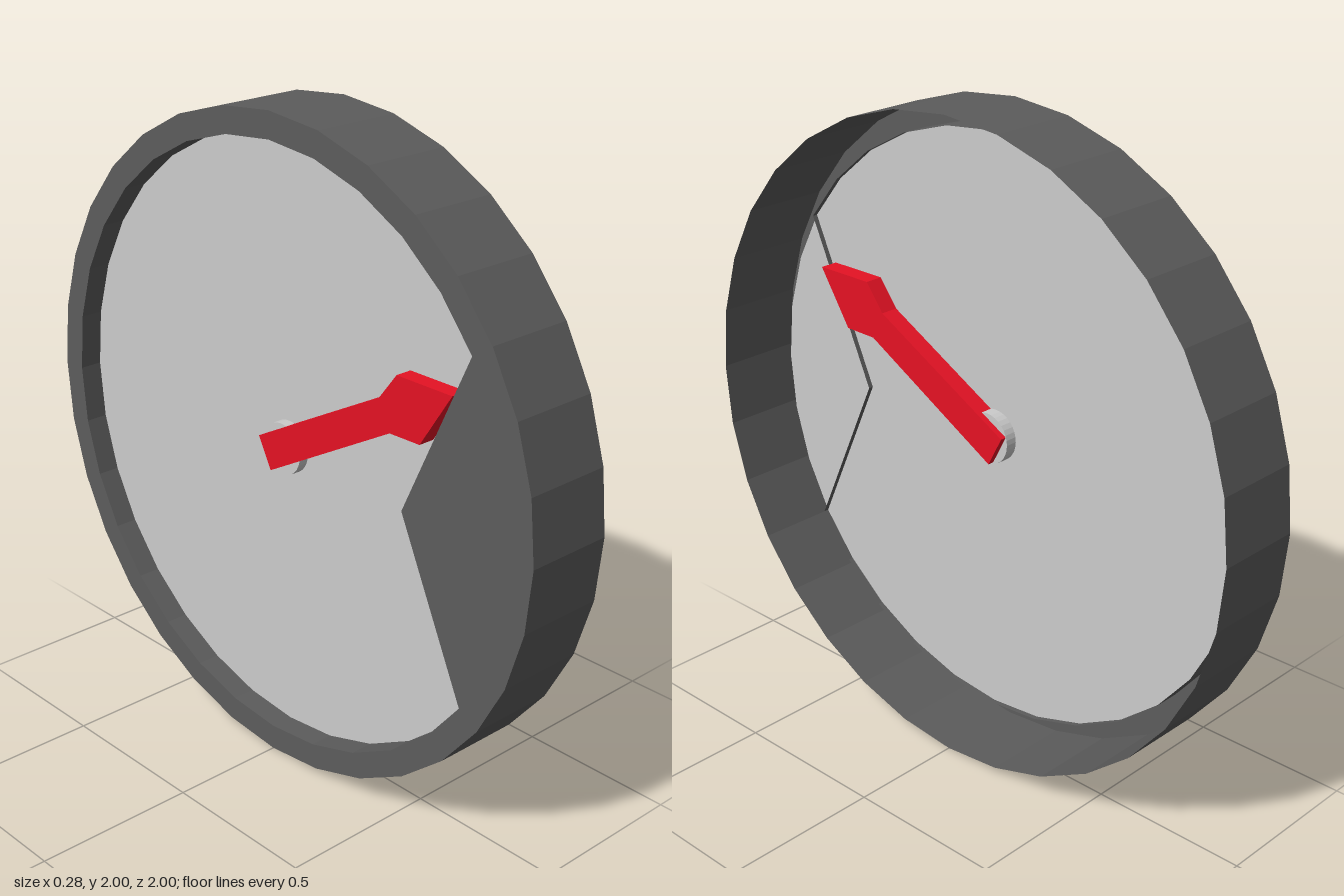
import * as THREE from 'three';

const SIDES = 32;
const BACK = -0.14, FRONT = 0.14;   // ends of the housing along its axis
const DIAL = -0.068;

const material = (color) => new THREE.MeshStandardMaterial({ color, flatShading: true, side: THREE.DoubleSide });

function ring(radius) {
  return Array.from({ length: SIDES }, (_, i) => {
    const a = (i / SIDES) * Math.PI * 2;
    return new THREE.Vector2(-Math.cos(a) * radius, -Math.sin(a) * radius);
  });
}

// Thin wall that follows a closed outline from depth d0 to depth d1
function band(outline, d0, d1) {
  const pos = [];
  outline.forEach((p, i) => {
    const q = outline[(i + 1) % outline.length];
    pos.push(p.x, p.y, d0, p.x, p.y, d1, q.x, q.y, d1);
    pos.push(p.x, p.y, d0, q.x, q.y, d1, q.x, q.y, d0);
  });
  const g = new THREE.BufferGeometry();
  g.setAttribute('position', new THREE.Float32BufferAttribute(pos, 3));
  g.computeVertexNormals();
  return g;
}

export function createModel() {
  const model = new THREE.Group();
  model.name = 'gauge';
  // Built facing local z, with local x = -z, then turned to face along x
  const body = new THREE.Group();
  body.name = 'gaugeBody';
  body.rotation.y = Math.PI / 2;
  body.position.y = 1;
  model.add(body);

  const dark = material(0x5c5c5c), grey = material(0xcccccc), red = material(0xe51224);
  const add = (name, geometry, mat) => {
    const m = new THREE.Mesh(geometry, mat);
    m.name = name;
    body.add(m);
    return m;
  };

  // Open drum
  const outer = ring(1);
  add('housingWall', band(outer, BACK, FRONT), dark);

  // Window outline: a circle with one sector replaced by an inward point
  const window = ring(0.92).slice(3, SIDES - 2);
  window.push(new THREE.Vector2(-0.53, 0));

  // Bezel plate and the sleeve leading in to the dial
  const plate = new THREE.Shape(outer);
  plate.holes.push(new THREE.Path(window));
  add('bezelPlate', new THREE.ShapeGeometry(plate).translate(0, 0, BACK), dark);
  add('windowSleeve', band(window, BACK, -0.052), dark);

  // Dial
  add('dial', new THREE.CircleGeometry(0.92, SIDES).translate(0, 0, DIAL), grey);

  // Hub, passing through the dial
  const hub = new THREE.CylinderGeometry(0.08, 0.08, 0.07, SIDES).rotateX(Math.PI / 2);
  add('hub', hub.translate(0, 0, -0.065), grey);

  // Needle with an arrow head, showing on both sides of the dial
  const needle = new THREE.Shape([
    [0.075, 0.025], [0.025, -0.07], [-0.46, 0.2], [-0.572, 0.202],
    [-0.684, 0.374], [-0.482, 0.374], [-0.417, 0.29],
  ].map(([x, y]) => new THREE.Vector2(x, y)));
  const needleGeo = new THREE.ExtrudeGeometry(needle, { depth: 0.11, bevelEnabled: false });
  add('needle', needleGeo.translate(0, 0, -0.12), red);

  return model;
}
